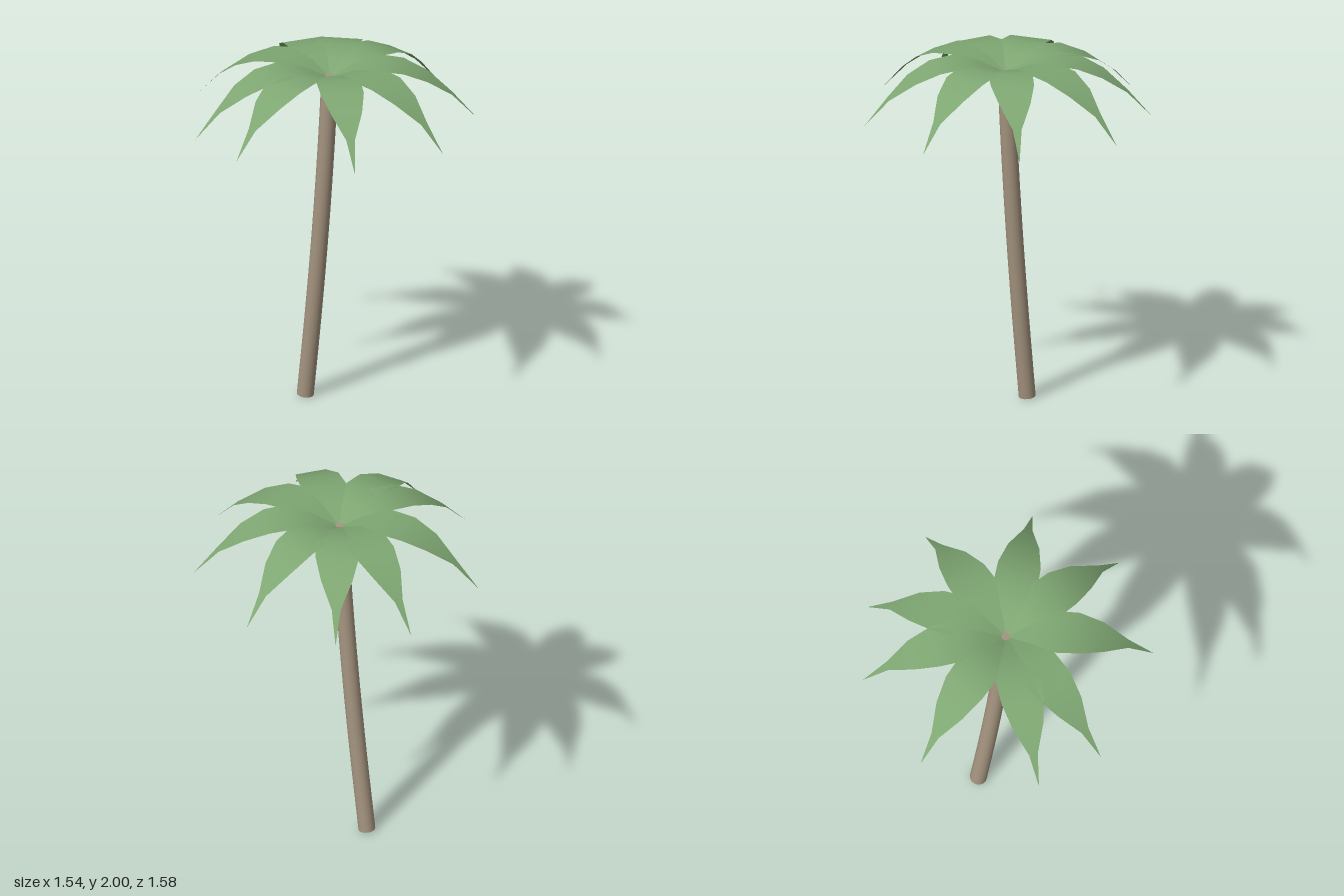
import * as THREE from 'three';

const bark = new THREE.MeshStandardMaterial({ color: 0xa69580 });
bark.name = 'bark';
const leaf = new THREE.MeshStandardMaterial({ color: 0x7ea672, side: THREE.DoubleSide });
leaf.name = 'leaf';

const CROWN = new THREE.Vector3(-0.02, 1.91, 0);
const TRUNK_RADIUS = 0.046;

function add(parent, name, geometry, material) {
  const mesh = new THREE.Mesh(geometry, material);
  mesh.name = name;
  parent.add(mesh);
  return mesh;
}

// One arching leaf along +z: flat across, widest near the crest, ending in a point
function frondGeometry() {
  const halfWidths = [0.045, 0.095, 0.12, 0.117, 0.085, 0.024, 0.0005];
  const rows = halfWidths.length - 1;
  const length = 0.79;
  const g = new THREE.PlaneGeometry(2, 1, 2, rows);
  const p = g.attributes.position;
  for (let i = 0; i < p.count; i++) {
    const row = Math.floor(i / 3);
    const r = (length * row) / rows;
    const y = 2 - 1.18 * (r - 0.27) ** 2 - CROWN.y;
    // negated x keeps the upper side facing up
    p.setXYZ(i, -p.getX(i) * halfWidths[row], y, r);
  }
  // reverse the winding so that it faces up
  const index = g.index.array;
  const a = new THREE.Vector3().fromBufferAttribute(p, index[0]);
  const b = new THREE.Vector3().fromBufferAttribute(p, index[1]);
  const c = new THREE.Vector3().fromBufferAttribute(p, index[2]);
  if (b.sub(a).cross(c.sub(a)).y < 0) {
    for (let i = 0; i < index.length; i += 3) {
      [index[i + 1], index[i + 2]] = [index[i + 2], index[i + 1]];
    }
  }
  g.computeVertexNormals();
  return g;
}

export function createModel() {
  const palm = new THREE.Group();
  palm.name = 'palmTree';

  // Leaning, gently curved trunk with closed ends
  const path = new THREE.CatmullRomCurve3([
    new THREE.Vector3(-0.207, 0.006, 0),
    new THREE.Vector3(-0.147, 0.5, 0),
    new THREE.Vector3(-0.094, 1, 0),
    new THREE.Vector3(-0.051, 1.5, 0),
    new THREE.Vector3(-0.022, 1.925, 0),
  ]);
  add(palm, 'trunk', new THREE.TubeGeometry(path, 24, TRUNK_RADIUS, 16), bark);
  for (const [name, t, sign] of [['trunkBase', 0, -1], ['trunkTop', 1, 1]]) {
    const cap = add(palm, name, new THREE.CircleGeometry(TRUNK_RADIUS, 16), bark);
    cap.position.copy(path.getPoint(t));
    cap.lookAt(cap.position.clone().addScaledVector(path.getTangent(t), sign));
  }

  // Crown of fronds, directions in degrees from the front towards +x
  const fronds = new THREE.Group();
  fronds.name = 'fronds';
  fronds.position.copy(CROWN);
  palm.add(fronds);
  const frond = frondGeometry();
  for (const angle of [4.3, 53.7, 94.3, 134, 177.8, 215.3, 246, 288.4, 337]) {
    add(fronds, 'frond', frond, leaf).rotation.y = THREE.MathUtils.degToRad(angle);
  }

  // Four nuts around the top of the trunk
  const nut = new THREE.SphereGeometry(0.031, 16, 12);
  for (let i = 0; i < 4; i++) {
    const a = THREE.MathUtils.degToRad(10 + 90 * i);
    add(palm, 'nut', nut, bark).position.set(
      CROWN.x + 0.057 * Math.sin(a), 1.9, 0.057 * Math.cos(a));
  }

  return palm;
}
